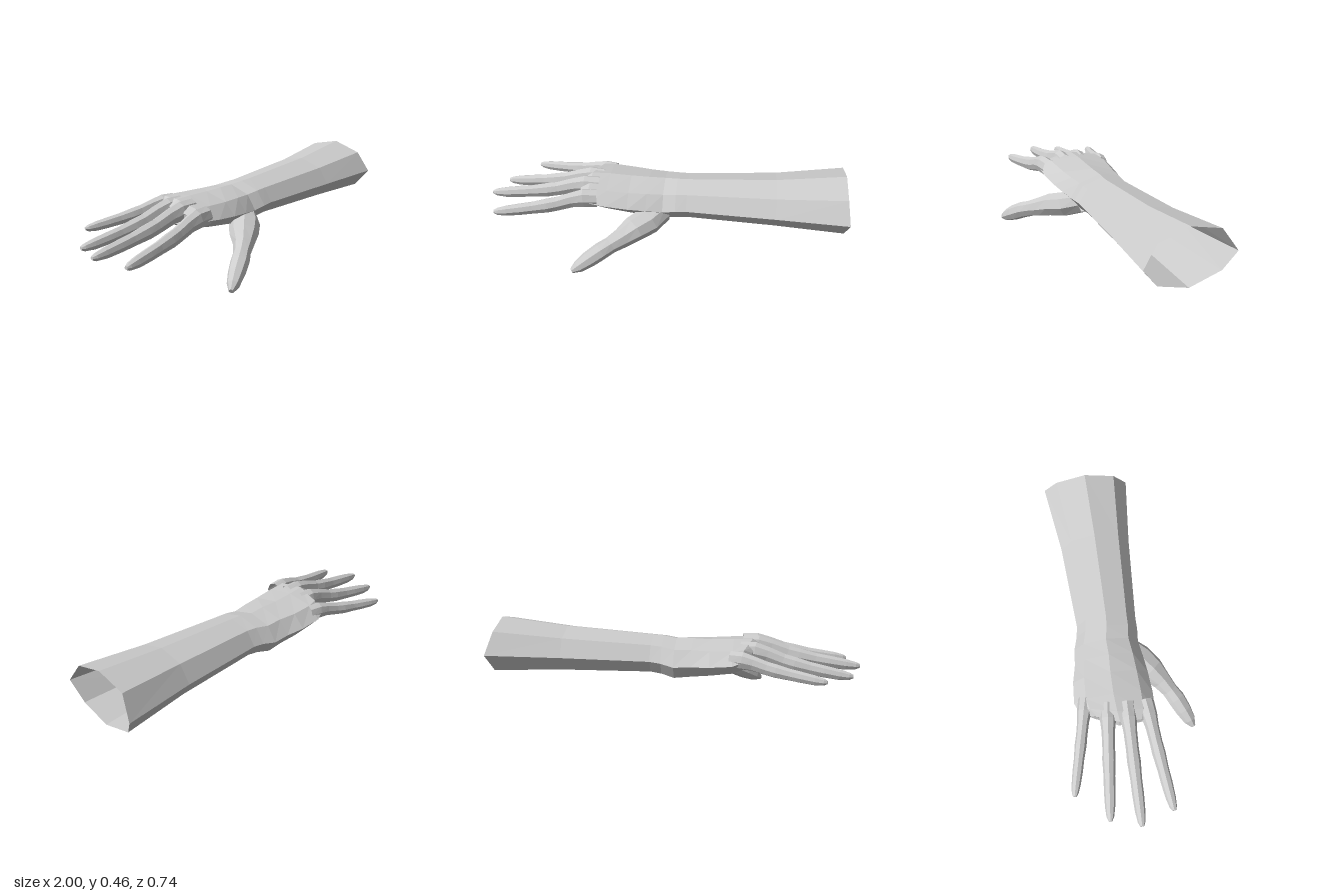
import * as THREE from 'three';

const skin = new THREE.MeshStandardMaterial({ color: 0xcccccc, flatShading: true, side: THREE.DoubleSide });
skin.name = 'plain grey';

// Skin a list of equal-length vertex rings, optionally closing the last one
function loft(name, rings, capEnd) {
  const n = rings[0].length, pos = [], index = [];
  rings.forEach(r => r.forEach(p => pos.push(p.x, p.y, p.z)));
  for (let i = 0; i < rings.length - 1; i++) {
    for (let j = 0; j < n; j++) {
      const a = i * n + j, b = i * n + (j + 1) % n;
      index.push(a, a + n, b + n, a, b + n, b);
    }
  }
  if (capEnd) {
    const last = rings[rings.length - 1], c = new THREE.Vector3();
    last.forEach(p => c.addScaledVector(p, 1 / n));
    pos.push(c.x, c.y, c.z);
    const s = (rings.length - 1) * n;
    for (let j = 0; j < n; j++) index.push(s + j, rings.length * n, s + (j + 1) % n);
  }
  let g = new THREE.BufferGeometry();
  g.setAttribute('position', new THREE.Float32BufferAttribute(pos, 3));
  g.setIndex(index);
  g = g.toNonIndexed();
  g.computeVertexNormals();
  const mesh = new THREE.Mesh(g, skin);
  mesh.name = name;
  return mesh;
}

// Arm cross-section: u runs across the width (-1..1), v up the height (0..1)
const ARM = [[-1, 0.5], [-0.69, 0.87], [0, 1], [0.69, 0.84], [1, 0.48], [0.66, 0.15], [-0.03, 0], [-0.75, 0.17]];

// Station: x, zMin, zMax, yMin, yMax, x pull-back on the little-finger edge
function armRing([x, z0, z1, y0, y1, slant = 0]) {
  return ARM.map(([u, v]) => new THREE.Vector3(
    x + slant * Math.max(0, -u), y0 + v * (y1 - y0), (z0 + z1) / 2 + u * (z1 - z0) / 2));
}

// Tapered eight-sided digit; station: x, y, z, half width, half height
function digit(name, stations) {
  const pts = stations.map(s => new THREE.Vector3(s[0], s[1], s[2]));
  const up = new THREE.Vector3(0, 1, 0);
  const rings = stations.map(([, , , w, h], i) => {
    const t = pts[Math.min(i + 1, pts.length - 1)].clone().sub(pts[Math.max(i - 1, 0)]).normalize();
    const side = t.clone().cross(up).normalize();
    const top = side.clone().cross(t);
    return Array.from({ length: 8 }, (_, j) => {
      const a = j * Math.PI / 4;
      return pts[i].clone().addScaledVector(side, w * Math.cos(a)).addScaledVector(top, h * Math.sin(a));
    });
  });
  return loft(name, rings, true);
}

// Finger profile along its length: fraction, half width, half height, height drop
const FINGER = [
  [0, 0.046, 0.052, 0], [0.13, 0.044, 0.054, 0], [0.24, 0.036, 0.046, 0.14], [0.38, 0.034, 0.042, 0.42],
  [0.48, 0.036, 0.042, 0.56], [0.62, 0.031, 0.036, 0.72], [0.74, 0.031, 0.034, 0.83],
  [0.88, 0.027, 0.03, 0.95], [0.965, 0.02, 0.021, 1], [1, 0.01, 0.01, 1],
];

function finger(name, base, tip, scale) {
  return digit(name, FINGER.map(([f, w, h, drop]) => [
    base[0] + (tip[0] - base[0]) * f,
    base[1] + (tip[1] - base[1]) * drop,
    base[2] + (tip[2] - base[2]) * f,
    w * scale, h * scale,
  ]));
}

export function createModel() {
  const model = new THREE.Group();
  model.name = 'handAndForearm';

  // Forearm, open at the elbow end with a slightly pointed rim
  const wrist = [0.12, -0.215, 0.115, 0.187, 0.395];
  const rim = armRing([0.97, -0.285, 0.2, 0.163, 0.468]);
  rim[0].x = 1;
  rim[4].x = 0.985;
  model.add(loft('forearm', [rim, armRing([0.6, -0.237, 0.155, 0.178, 0.425]), armRing(wrist)], false));

  // Palm, from wrist to the finger webs
  model.add(loft('palm', [
    wrist,
    [0.06, -0.225, 0.115, 0.18, 0.392],
    [-0.01, -0.248, 0.108, 0.165, 0.384],
    [-0.1, -0.257, 0.12, 0.18, 0.386],
    [-0.2, -0.28, 0.13, 0.2, 0.385],
    [-0.32, -0.29, 0.135, 0.222, 0.39],
    [-0.42, -0.275, 0.13, 0.245, 0.392, 0.06],
    [-0.47, -0.23, 0.1, 0.275, 0.36, 0.07],
  ].map(armRing), true));

  // Fingers
  model.add(finger('indexFinger', [-0.37, 0.325, 0.085], [-0.945, 0.235, 0.142], 1));
  model.add(finger('middleFinger', [-0.37, 0.345, -0.015], [-1, 0.25, -0.036], 1));
  model.add(finger('ringFinger', [-0.36, 0.34, -0.115], [-0.948, 0.243, -0.192], 0.98));
  model.add(finger('littleFinger', [-0.31, 0.325, -0.225], [-0.8, 0.265, -0.355], 0.88));

  // Thumb, growing out of the heel of the palm
  model.add(digit('thumb', [
    [-0.02, 0.235, 0.03, 0.07, 0.065],
    [-0.09, 0.205, 0.1, 0.085, 0.07],
    [-0.16, 0.185, 0.16, 0.078, 0.065],
    [-0.22, 0.155, 0.21, 0.056, 0.055],
    [-0.275, 0.132, 0.247, 0.046, 0.046],
    [-0.325, 0.11, 0.278, 0.05, 0.047],
    [-0.385, 0.075, 0.31, 0.046, 0.045],
    [-0.44, 0.042, 0.338, 0.035, 0.034],
    [-0.475, 0.022, 0.355, 0.014, 0.014],
  ]));

  return model;
}
